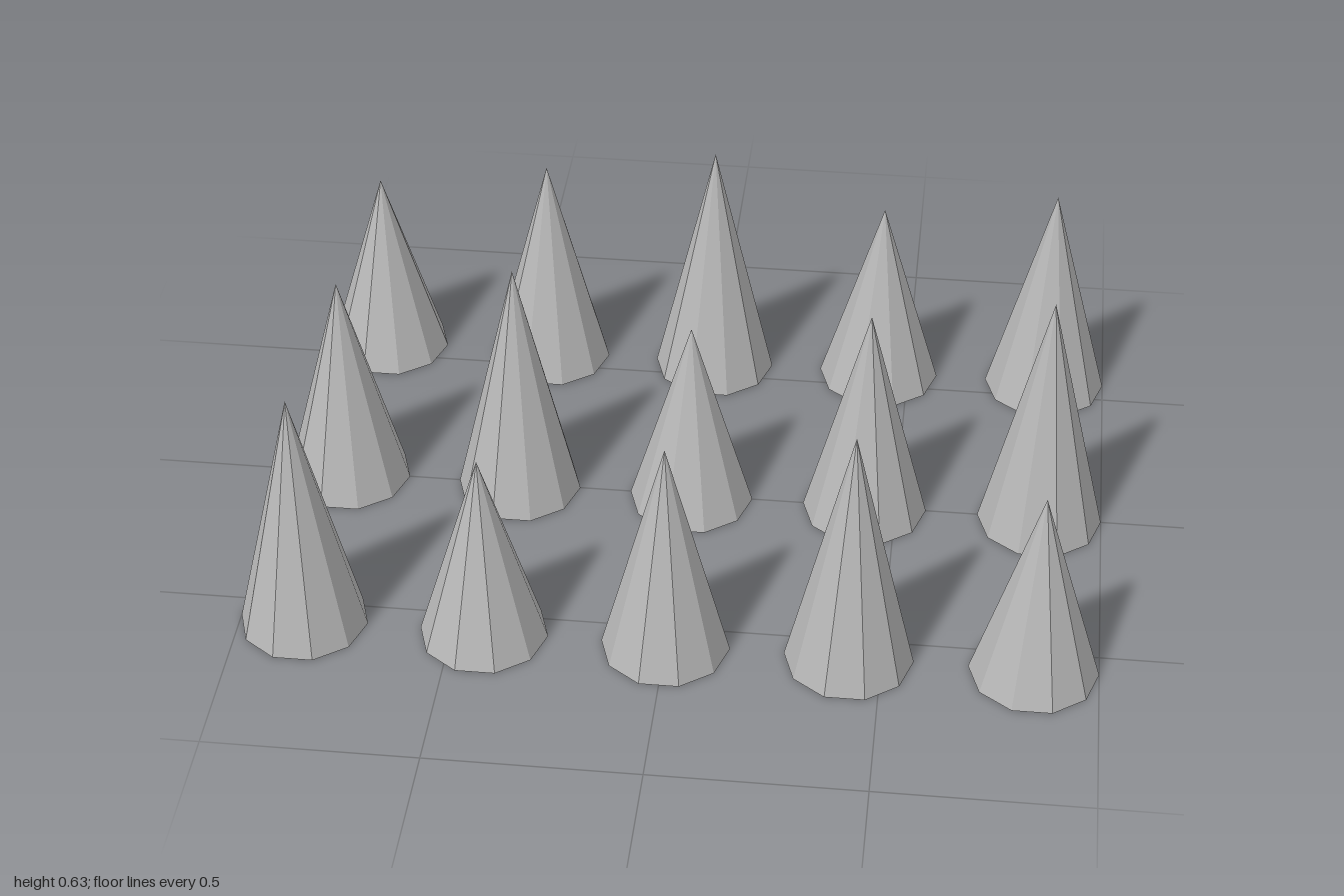
import * as THREE from 'three';

export function createModel() {
  const group = new THREE.Group();
  const stone = new THREE.MeshStandardMaterial({ color: 0xb8b8b8, flatShading: true });
  stone.name = 'plain grey';

  const radius = 0.15, sides = 10;
  const columnGap = 0.425, rowGap = 0.56;

  // Three spike heights, each standing on its base with corners on the x axis
  const spikes = [0.5, 0.567, 0.635].map((height) =>
    new THREE.ConeGeometry(radius, height, sides)
      .rotateY(Math.PI / 2)
      .translate(0, height / 2, 0));

  // Grid of spikes, front row first, the heights cycling along the rows
  for (let row = 0; row < 3; row++) {
    for (let col = 0; col < 5; col++) {
      const spike = new THREE.Mesh(spikes[(row * 5 + col + 2) % 3], stone);
      spike.name = `spikeRow${row + 1}Column${col + 1}`;
      spike.position.set((col - 2) * columnGap, 0, (1 - row) * rowGap);
      group.add(spike);
    }
  }
  return group;
}
